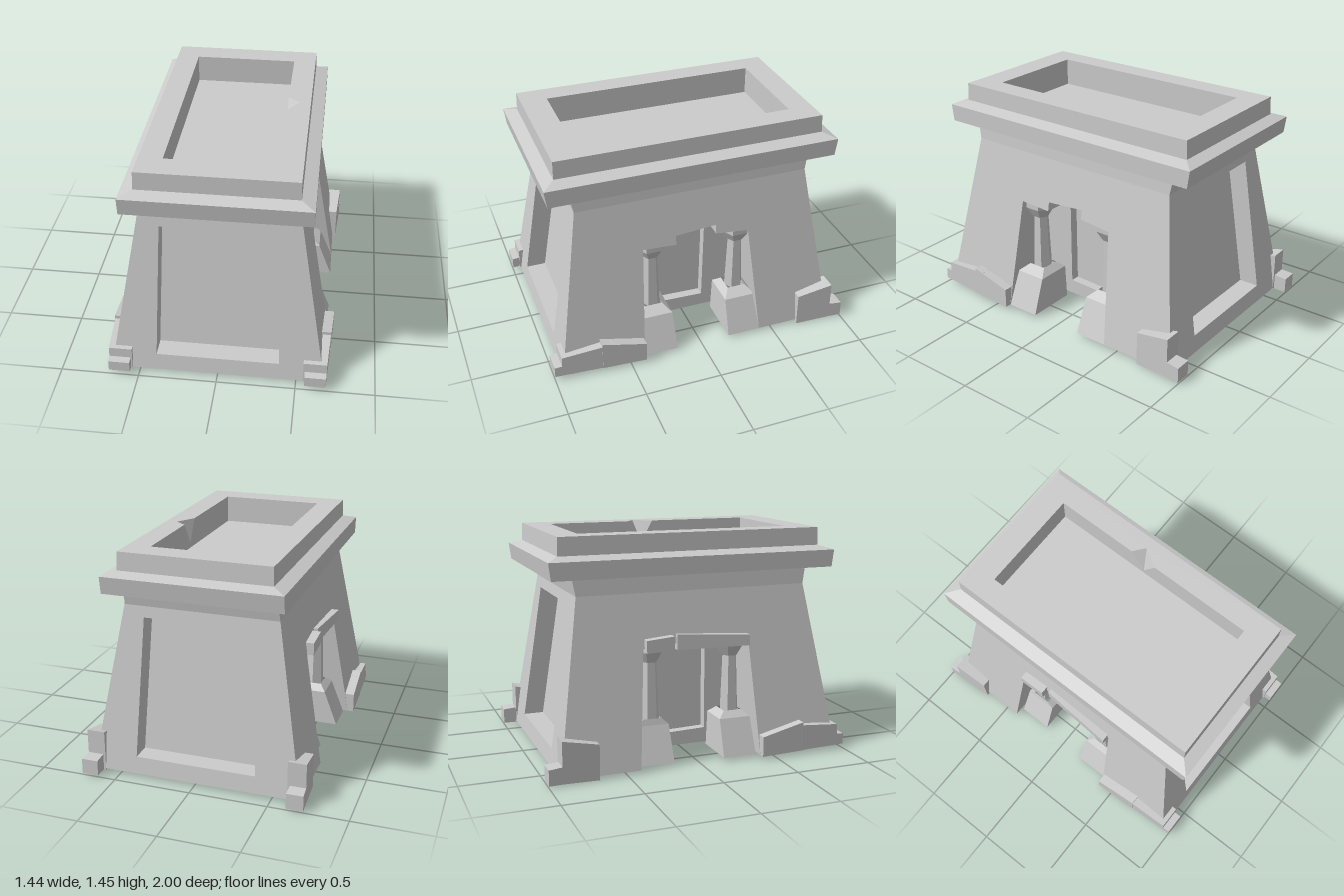
import * as THREE from 'three';
import { mergeGeometries } from 'three/addons/utils/BufferGeometryUtils.js';

const mat = new THREE.MeshStandardMaterial({ color: 0xcccccc, flatShading: true, side: THREE.DoubleSide });

// flat polygon in space; drop = axis ignored while triangulating
function face(pts, drop, hole = []) {
  const flat = p => {
    const q = p.filter((_, i) => i !== drop);
    return new THREE.Vector2(q[0], q[1]);
  };
  const holes = hole.length ? [hole.map(flat)] : [];
  const tris = THREE.ShapeUtils.triangulateShape(pts.map(flat), holes);
  const all = [...pts, ...hole];
  const geo = new THREE.BufferGeometry();
  geo.setAttribute('position', new THREE.Float32BufferAttribute(tris.flat().flatMap(i => all[i]), 3));
  geo.computeVertexNormals();
  return geo;
}

// quads between successive point rows
function strip(rows, closed = true) {
  const pos = [];
  for (let r = 0; r + 1 < rows.length; r++) {
    const a = rows[r], b = rows[r + 1], n = a.length;
    for (let i = 0; i < (closed ? n : n - 1); i++) {
      const j = (i + 1) % n;
      pos.push(...a[i], ...a[j], ...b[j], ...a[i], ...b[j], ...b[i]);
    }
  }
  const geo = new THREE.BufferGeometry();
  geo.setAttribute('position', new THREE.Float32BufferAttribute(pos, 3));
  geo.computeVertexNormals();
  return geo;
}

const rect = (y, x0, x1, z0, z1) => [[x0, y, z0], [x1, y, z0], [x1, y, z1], [x0, y, z1]];

function add(group, name, geos) {
  const mesh = new THREE.Mesh(Array.isArray(geos) ? mergeGeometries(geos) : geos, mat);
  mesh.name = name;
  group.add(mesh);
  return mesh;
}

// battered wall positions by height
const Y0 = 0.02, Y1 = 1.09, Y2 = 1.2;
const lerp = (a, b, y) => a + (b - a) * (y - Y0) / (Y1 - Y0);
const wallX = y => lerp(0.68, 0.495, y);
const wallZ = (s, y) => (s > 0 ? lerp(0.945, 0.77, y) : lerp(-0.915, -0.755, y));

// end wall with a sunken panel
function endWall(s) {
  const at = (x, y, d = 0) => [x, y, wallZ(s, y) - s * d];
  const outline = [at(-0.68, Y0), at(0.68, Y0), at(0.495, Y1), at(-0.495, Y1)];
  const panel = [[-0.39, 0.13], [0.39, 0.13], [0.365, 1.02], [-0.365, 1.02]];
  const rim = panel.map(([x, y]) => at(x, y)), back = panel.map(([x, y]) => at(x, y, 0.13));
  const zTop = s > 0 ? 0.79 : -0.775;
  const top = [[-0.495, Y1, wallZ(s, Y1)], [0.495, Y1, wallZ(s, Y1)]];
  return [face(outline, 2, rim), strip([rim, back]), face(back, 2),
    strip([top, [[-0.487, Y2, zTop], [0.487, Y2, zTop]]], false)];
}

// long wall with an open porch and a blind door at its back
function sideWall(s) {
  const porch = [[0.4, Y0], [0.36, 0.76], [0.14, 0.75], [0.14, 0.81], [-0.13, 0.83],
    [-0.13, 0.77], [-0.35, 0.75], [-0.41, Y0]];
  const door = [[0.165, 0.12], [0.165, 0.71], [-0.15, 0.72], [-0.14, 0.11]];
  const onWall = ([z, y]) => [s * wallX(y), y, z];
  const inset = x => ([z, y]) => [s * x, y, z];
  const front = porch.map(onWall), back = porch.map(inset(0.3));
  const doorRim = door.map(inset(0.3)), doorBack = door.map(inset(0.24));
  const corner = (e, y) => onWall([wallZ(e, y), y]);
  const outline = [corner(1, Y0), ...front, corner(-1, Y0), corner(-1, Y1), corner(1, Y1)];
  const top = [corner(-1, Y1), corner(1, Y1)];
  return [face(outline, 0), strip([front, back], false), face(back, 0, doorRim),
    strip([doorRim, doorBack]), face(doorBack, 0),
    strip([top, [[s * 0.487, Y2, -0.775], [s * 0.487, Y2, 0.79]]], false)];
}

// stone block: a z-y profile carried from inner x to an outer face that may slant along z
function stone(s, profile, inner, outer) {
  const a = profile.map(([z, y]) => [s * inner, y, z]);
  const b = profile.map(([z, y]) => [s * outer(z), y, z]);
  return [strip([a, b]), face(a, 0), face(b, 0)];
}

function roof() {
  // cornice and upright parapet, from the wall top outwards and up
  const rows = [[1.2, 0.487, -0.775, 0.79], [1.2, 0.567, -0.92, 0.94], [1.31, 0.567, -0.935, 0.955],
    [1.335, 0.485, -0.86, 0.877], [1.45, 0.482, -0.855, 0.875]].map(([y, x, b, f]) => rect(y, -x, x, b, f));
  // sunken terrace with a chip broken out of one rim
  const X = 0.335, B = -0.695, F = 0.705, T = 1.45, D = 1.27;
  const c0 = [X, T, -0.15], c1 = [0.41, T, -0.09], c2 = [X, T, 0.03], apex = [X, 1.3, -0.05];
  const floor = rect(D, -X, X, B, F);
  const opening = [[-X, T, B], [X, T, B], c0, c1, c2, [X, T, F], [-X, T, F]];
  const wall = [[X, D, B], [X, D, F], [X, T, F], c2, apex, c0, [X, T, B]];
  const others = [[X, F], [-X, F], [-X, B], [X, B]];
  return [strip(rows), face(rows[4], 1, opening), face(floor, 1), face(wall, 0),
    face([c0, c1, apex], 1), face([c1, c2, apex], 1),
    strip([others.map(([x, z]) => [x, D, z]), others.map(([x, z]) => [x, T, z])], false)];
}

// pedestal, six-sided shaft and flared capital
function column(s, z, shift) {
  const g = new THREE.Group();
  g.name = 'column';
  const x = 0.46;
  add(g, 'pedestal', strip([
    rect(0.02, x - 0.11, 0.68 - shift, -0.112, 0.112),
    rect(0.25, x - 0.105, 0.59 - shift, -0.105, 0.105),
    rect(0.29, x - 0.06, x + 0.06, -0.06, 0.06)]
    .map(row => row.map(([px, y, pz]) => [s * px, y, z + pz]))));
  for (const [name, y0, y1, r0, r1] of [['shaft', 0.28, 0.66, 0.062, 0.048],
    ['capital', 0.65, 0.72, 0.055, 0.1], ['capitalSlab', 0.72, 0.76, 0.1, 0.1]]) {
    const m = add(g, name, new THREE.CylinderGeometry(r1, r0, y1 - y0, 6));
    m.position.set(s * x, (y0 + y1) / 2, z);
  }
  return g;
}

export function createModel() {
  const model = new THREE.Group();
  model.name = 'temple';
  add(model, 'frontWall', endWall(1));
  add(model, 'backWall', endWall(-1));
  add(model, 'roof', roof());

  // foundation stones narrow towards the front
  const frontX = z => 0.72 - 0.05 * (z - 0.4);
  const backX = z => 0.7 - 0.07 * (z + 0.68);
  for (const s of [1, -1]) {
    const side = s > 0 ? 'left' : 'right';
    add(model, side + 'Wall', sideWall(s));
    // worn foundation stones at the corners
    add(model, side + 'FrontToeStone', stone(s, [[1, 0.03], [1, 0.1], [0.9, 0.11], [0.9, 0.03]], 0.555, frontX));
    add(model, side + 'FrontStone', stone(s, [[0.955, 0.03], [0.95, 0.17], [0.62, 0.2], [0.62, 0.025]], 0.545, frontX));
    add(model, side + 'MiddleStone',
      stone(s, [[0.69, 0.025], [0.69, 0.215], [0.4, 0.15], [0.4, 0.02]], 0.565, z => frontX(z) + 0.01 * (z - 0.4)));
    add(model, side + 'BackStone', stone(s, [[-0.68, 0], [-0.68, 0.225], [-0.915, 0.275], [-0.915, 0.01]], 0.6, backX));
    add(model, side + 'BackToeStone', stone(s, [[-0.88, 0.01], [-0.88, 0.12], [-1, 0.11], [-1, 0.01]], 0.615, backX));
  }

  // porch columns
  model.add(column(1, 0.285, 0), column(1, -0.3, 0), column(-1, 0.27, 0.03), column(-1, -0.28, 0.06));

  // surviving lintel pieces on one side
  add(model, 'lintel', stone(-1, [[0.35, 0.73], [0.35, 0.8], [-0.13, 0.83], [-0.13, 0.73]], 0.45,
    z => 0.568 + 0.06 * (z + 0.13)));
  add(model, 'lintelFragment', stone(-1, [[-0.16, 0.74], [-0.16, 0.825], [-0.34, 0.81], [-0.34, 0.73]], 0.47, () => 0.597));
  return model;
}
